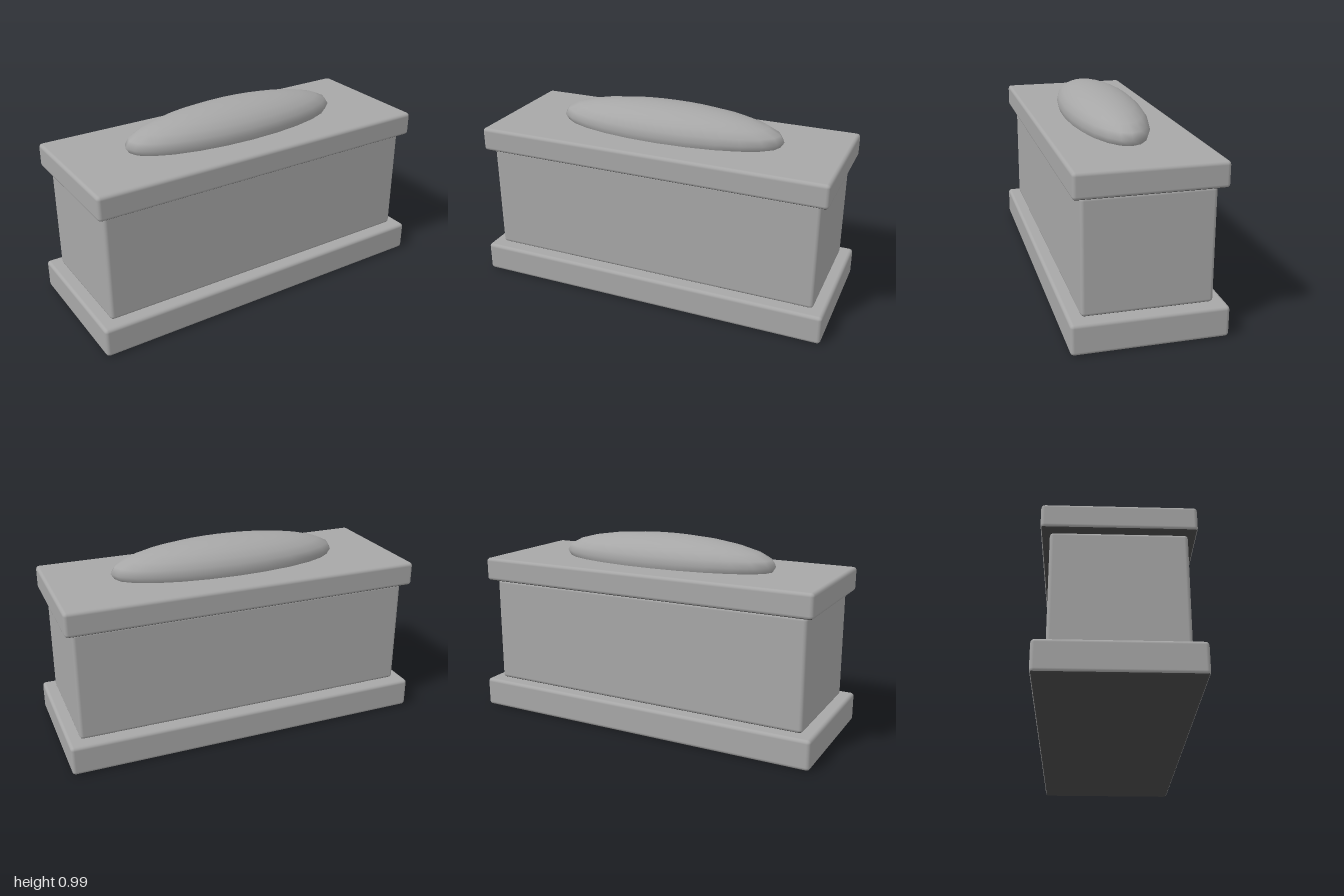
import * as THREE from 'three';
import { RoundedBoxGeometry } from 'three/addons/geometries/RoundedBoxGeometry.js';

export function createModel() {
  const model = new THREE.Group();
  model.name = 'pedestalBox';
  const stone = new THREE.MeshStandardMaterial({ color: 0xa7a7a7 });
  stone.name = 'grey stone';
  const underside = new THREE.MeshStandardMaterial({ color: 0x4a4a4a });
  underside.name = 'dark underside';

  // Everything stands turned about the vertical axis
  const body = new THREE.Group();
  body.name = 'turnedBox';
  body.rotation.y = -0.379;
  model.add(body);

  // Softly bevelled slab between two heights, dark on its lower face
  const slabMaterials = [stone, stone, stone, underside, stone, stone];
  function slab(name, length, width, bottom, top) {
    const geometry = new RoundedBoxGeometry(length, top - bottom, width, 2, 0.018);
    const mesh = new THREE.Mesh(geometry, slabMaterials);
    mesh.name = name;
    mesh.position.y = (bottom + top) / 2;
    body.add(mesh);
  }
  slab('base', 1.87, 0.738, 0, 0.152);
  slab('chest', 1.75, 0.618, 0.152, 0.709);
  slab('lid', 1.826, 0.7, 0.709, 0.832);

  // Long flattened dome, partly sunk into the lid
  const dome = new THREE.Mesh(new THREE.SphereGeometry(1, 24, 12), stone);
  dome.name = 'dome';
  dome.scale.set(0.605, 0.125, 0.192);
  dome.position.y = 0.86;
  body.add(dome);

  return model;
}
